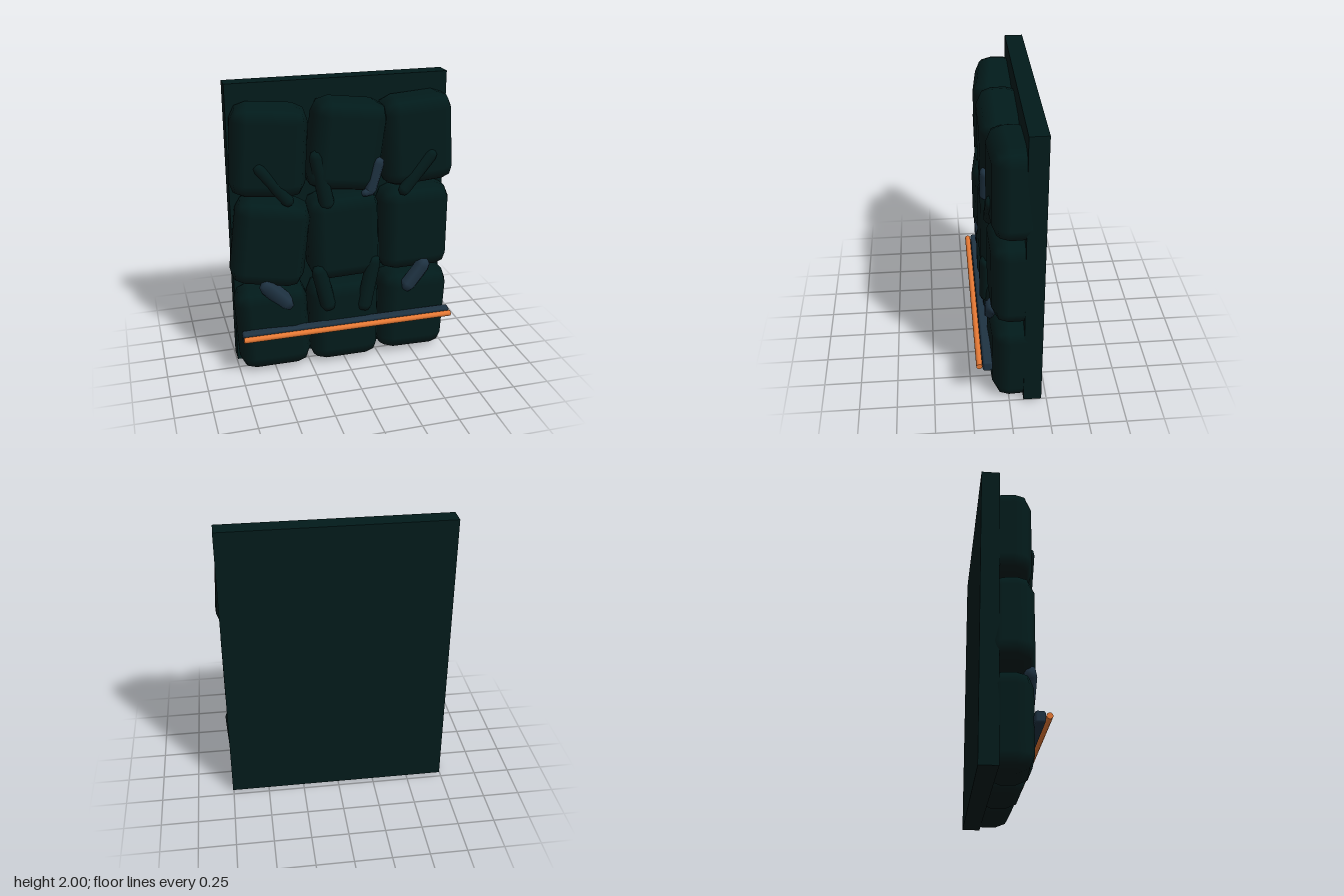
import * as THREE from 'three';
import { RoundedBoxGeometry } from 'three/addons/geometries/RoundedBoxGeometry.js';

export function createModel() {
  const model = new THREE.Group();
  model.name = 'cushionedWallPanel';

  const material = (name, color) => {
    const m = new THREE.MeshStandardMaterial({ color });
    m.name = name;
    return m;
  };
  const darkTeal = material('darkTeal', 0x021b1b);
  const slate = material('slate', 0x1f3343);
  const orange = material('orange', 0xe87a35);

  const add = (name, geometry, mat, x, y, z) => {
    const mesh = new THREE.Mesh(geometry, mat);
    mesh.name = name;
    mesh.position.set(x, y, z);
    model.add(mesh);
    return mesh;
  };

  // Flat backing slab
  add('backPanel', new THREE.BoxGeometry(1.5, 1.99, 0.12), darkTeal, 0.005, 1.005, -0.155);

  // Padded blocks: x, y, z, tilt about x, y and z
  const pads = [
    [-0.495, 1.575, -0.015, 0.01, -0.12, -0.06],
    [0.02, 1.58, -0.005, 0.02, 0.00, -0.12],
    [0.515, 1.575, -0.035, -0.01, 0.05, 0.06],
    [-0.505, 0.95, 0.00, 0.00, -0.14, -0.12],
    [0.00, 0.95, -0.005, -0.02, 0.00, 0.03],
    [0.51, 0.95, -0.035, 0.00, 0.02, 0.00],
    [-0.50, 0.318, -0.02, 0.00, -0.08, 0.05],
    [0.005, 0.315, -0.02, 0.00, 0.00, 0.00],
    [0.51, 0.318, -0.035, 0.00, 0.05, -0.05],
  ];
  const padGeometry = new RoundedBoxGeometry(0.5, 0.615, 0.3, 1, 0.105);
  for (const [x, y, z, rx, ry, rz] of pads) {
    add('pad', padGeometry, darkTeal, x, y, z).rotation.set(rx, ry, rz);
  }

  // Flattened rods running between two points on the pad faces
  const rod = (name, mat, x1, y1, x2, y2, z, radius, sides) => {
    const dx = x1 - x2, dy = y1 - y2;
    const length = Math.hypot(dx, dy);
    const geometry = new THREE.CapsuleGeometry(radius, length, 2, sides);
    const mesh = add(name, geometry, mat, (x1 + x2) / 2, (y1 + y2) / 2, z);
    mesh.rotation.z = Math.atan2(-dx, dy);
    mesh.scale.z = 0.8;
  };
  rod('darkRod', darkTeal, -0.575, 1.49, -0.395, 1.26, 0.113, 0.042, 10);
  rod('darkRod', darkTeal, -0.195, 1.53, -0.13, 1.21, 0.095, 0.052, 10);
  rod('darkRod', darkTeal, 0.585, 1.485, 0.405, 1.26, 0.105, 0.044, 10);
  rod('darkRod', darkTeal, -0.19, 0.725, -0.13, 0.475, 0.115, 0.054, 10);
  rod('darkRod', darkTeal, 0.19, 0.755, 0.13, 0.44, 0.115, 0.054, 10);

  // Stubby slate pieces
  rod('slateRod', slate, 0.215, 1.465, 0.165, 1.285, 0.118, 0.042, 6);
  rod('slateFoot', slate, 0.165, 1.275, 0.125, 1.268, 0.125, 0.028, 6);
  rod('slateRod', slate, -0.545, 0.655, -0.42, 0.525, 0.11, 0.06, 6);
  rod('slateRod', slate, 0.555, 0.675, 0.455, 0.545, 0.1, 0.06, 6);

  // Horizontal rail with a bright bar in front of it
  add('rail', new RoundedBoxGeometry(1.485, 0.075, 0.065, 1, 0.015), slate, 0.005, 0.315, 0.143);
  add('brightBar', new THREE.CylinderGeometry(0.02, 0.02, 1.48, 12), orange, 0.005, 0.32, 0.197)
    .rotation.z = Math.PI / 2;

  return model;
}
